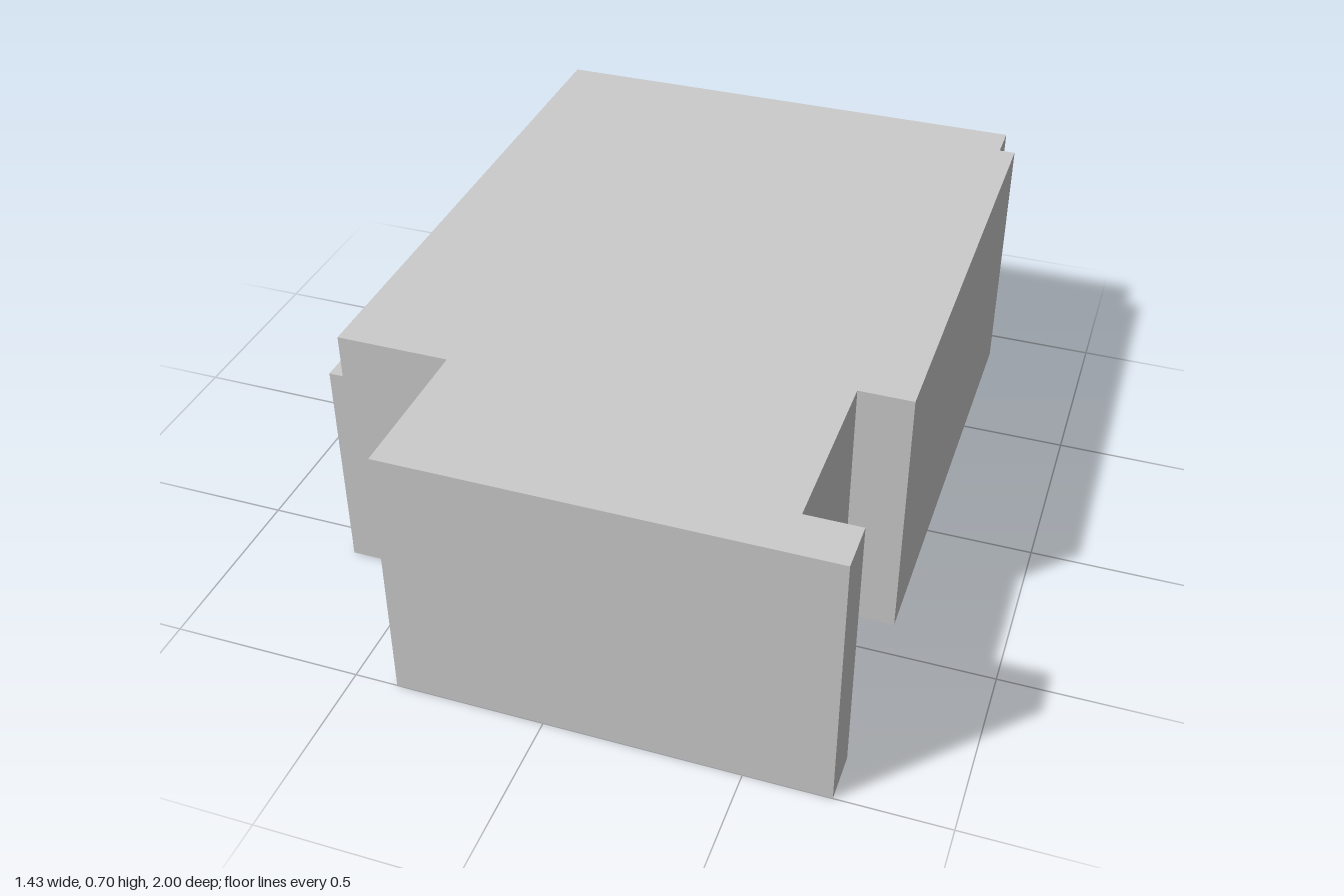
import * as THREE from 'three';

const HEIGHT = 0.705;

export function createModel() {
  const model = new THREE.Group();
  const material = new THREE.MeshStandardMaterial({ color: 0xcccccc, flatShading: true });

  // Extrudes a floor plan of [x, z] corners upwards from y = 0
  function addBlock(name, plan, height) {
    const shape = new THREE.Shape(plan.map(([x, z]) => new THREE.Vector2(x, -z)));
    const geometry = new THREE.ExtrudeGeometry(shape, { depth: height, bevelEnabled: false });
    geometry.rotateX(-Math.PI / 2);
    const mesh = new THREE.Mesh(geometry, material);
    mesh.name = name;
    model.add(mesh);
  }

  // Main block with a front corner step, a side recess and a rear corner step
  addBlock('mainBuilding', [
    [-0.387, 1], [0.717, 1], [0.717, 0.87], [0.578, 0.87],
    [0.578, 0.393], [0.717, 0.393], [0.717, -0.897], [0.674, -0.897],
    [0.674, -1], [-0.681, -1], [-0.681, 0.59], [-0.387, 0.59],
  ], HEIGHT);

  // Lower, shallow projection along the right wall
  addBlock('sideProjection', [
    [-0.718, 0.59], [-0.681, 0.59], [-0.681, -0.897], [-0.718, -0.897],
  ], 0.588);

  return model;
}
